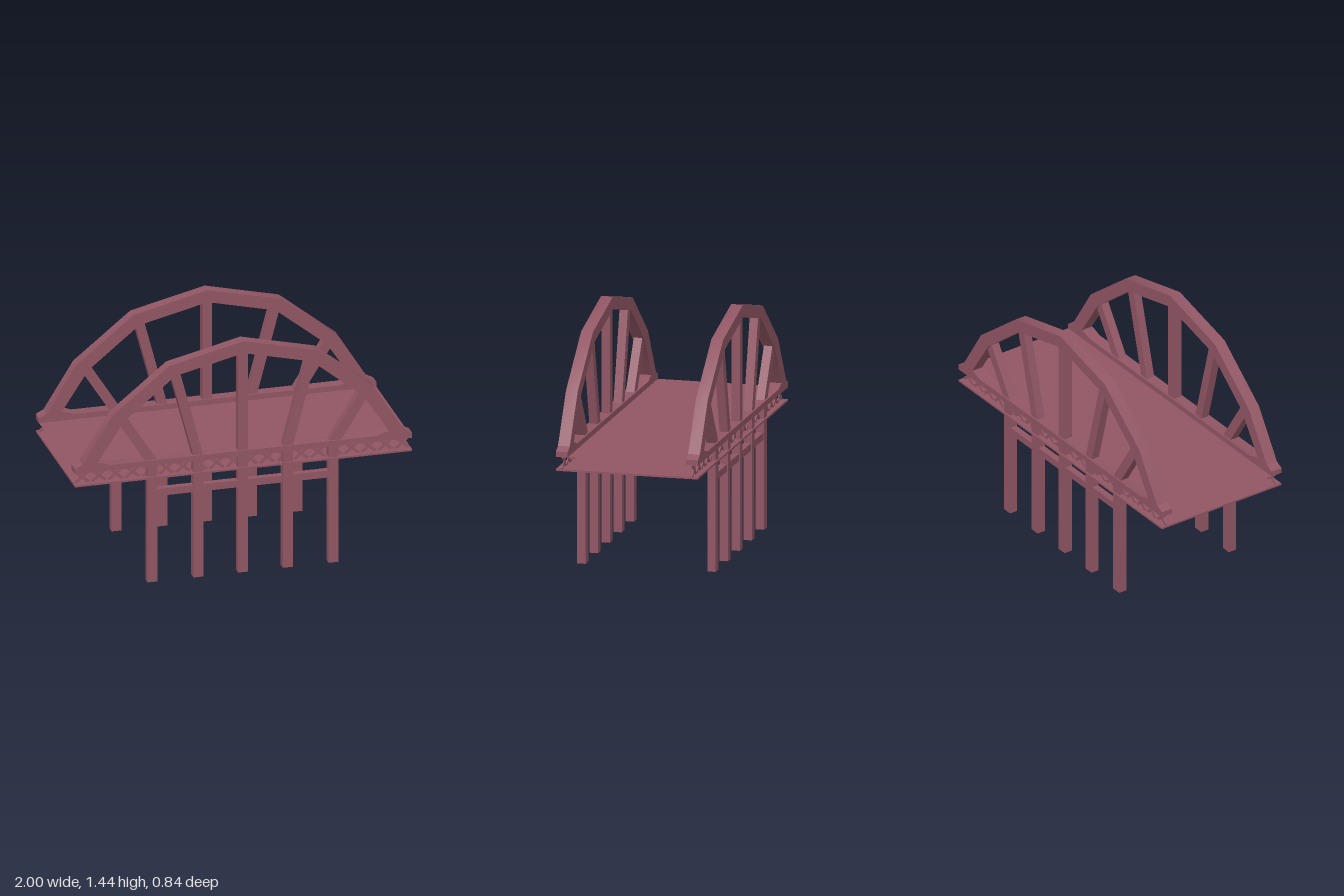
import * as THREE from 'three';
import { toCreasedNormals } from 'three/addons/utils/BufferGeometryUtils.js';

const SIDE_Z = 0.385; // centre plane of each truss

export function createModel() {
  const root = new THREE.Group();
  root.name = 'archBridge';
  const paint = new THREE.MeshStandardMaterial({ color: 0x915664, side: THREE.DoubleSide });
  paint.name = 'dustyRedPaint';

  const add = (parent, name, geometry, x = 0, y = 0, z = 0) => {
    const mesh = new THREE.Mesh(geometry, paint);
    mesh.name = name;
    mesh.position.set(x, y, z);
    parent.add(mesh);
    return mesh;
  };

  // Straight bar between two points in the truss plane
  const bar = (parent, name, [x1, y1], [x2, y2], width, depth) => {
    const length = Math.hypot(x2 - x1, y2 - y1);
    const mesh = add(parent, name, new THREE.BoxGeometry(width, length, depth), (x1 + x2) / 2, (y1 + y2) / 2);
    mesh.rotation.z = -Math.atan2(x2 - x1, y2 - y1);
    return mesh;
  };

  // Closed outline mirrored about x = 0, starting at the crown
  const mirrored = (half) => {
    const left = half.filter(([x]) => x > 0).reverse().map(([x, y]) => [-x, y]);
    return [...half, ...left].map(([x, y]) => new THREE.Vector2(x, y));
  };

  // Arch, feet and bottom chord in one frame
  const frameShape = new THREE.Shape(mirrored([
    [0, 1.44], [0.44, 1.335], [0.778, 1.063], [0.955, 0.78], [1, 0.757], [1, 0.725],
  ]));
  frameShape.holes.push(new THREE.Path(mirrored([
    [0, 1.365], [0.405, 1.268], [0.708, 1.022], [0.866, 0.78], [0.845, 0.78], [0.79, 0.76],
  ])));
  const frameGeometry = toCreasedNormals(
    new THREE.ExtrudeGeometry(frameShape, { depth: 0.07, bevelEnabled: false }).translate(0, 0, -0.035), 0.53);

  // Hollow pier, open at the foot
  const pierGeometry = new THREE.BoxGeometry(0.059, 0.73, 0.05);
  const index = Array.from(pierGeometry.index.array);
  index.splice(18, 6);
  pierGeometry.setIndex(index);
  pierGeometry.clearGroups();

  // Upper roadway sheet between the chords, and the lower plate
  add(root, 'roadway', new THREE.PlaneGeometry(2, 0.7).rotateX(-Math.PI / 2), 0, 0.727, 0);
  add(root, 'lowerPlate', new THREE.BoxGeometry(2, 0.011, 0.84), 0, 0.649, 0);

  for (const side of [1, -1]) {
    const truss = new THREE.Group();
    truss.name = side > 0 ? 'frontTruss' : 'backTruss';
    truss.position.z = side * SIDE_Z;
    root.add(truss);

    add(truss, 'archFrame', frameGeometry);

    // Hangers fanning out from the chord to the arch
    bar(truss, 'centreHanger', [0, 0.74], [0, 1.39], 0.059, 0.05);
    for (const s of [1, -1]) {
      bar(truss, 'innerHanger', [s * 0.262, 0.74], [s * 0.405, 1.29], 0.057, 0.05);
      bar(truss, 'outerHanger', [s * 0.535, 0.74], [s * 0.725, 1.04], 0.06, 0.05);
    }

    // Piers and their tie beam
    for (const x of [-0.537, -0.265, 0, 0.265, 0.537]) {
      add(truss, 'pier', pierGeometry, x, 0.365, 0);
    }
    add(truss, 'tieBeam', new THREE.BoxGeometry(1.03, 0.043, 0.04), 0, 0.55, 0);

    // Thin crossed lattice between plate and chord
    const lattice = new THREE.Group();
    lattice.name = 'lattice';
    truss.add(lattice);
    const count = 20, pitch = 2 / count;
    for (let i = 0; i < count; i++) {
      const a = -1 + i * pitch + 0.008, b = a + pitch - 0.016;
      bar(lattice, 'latticeBar', [a, 0.655], [b, 0.727], 0.018, 0.006);
      bar(lattice, 'latticeBar', [a, 0.727], [b, 0.655], 0.018, 0.005);
    }
  }
  return root;
}
